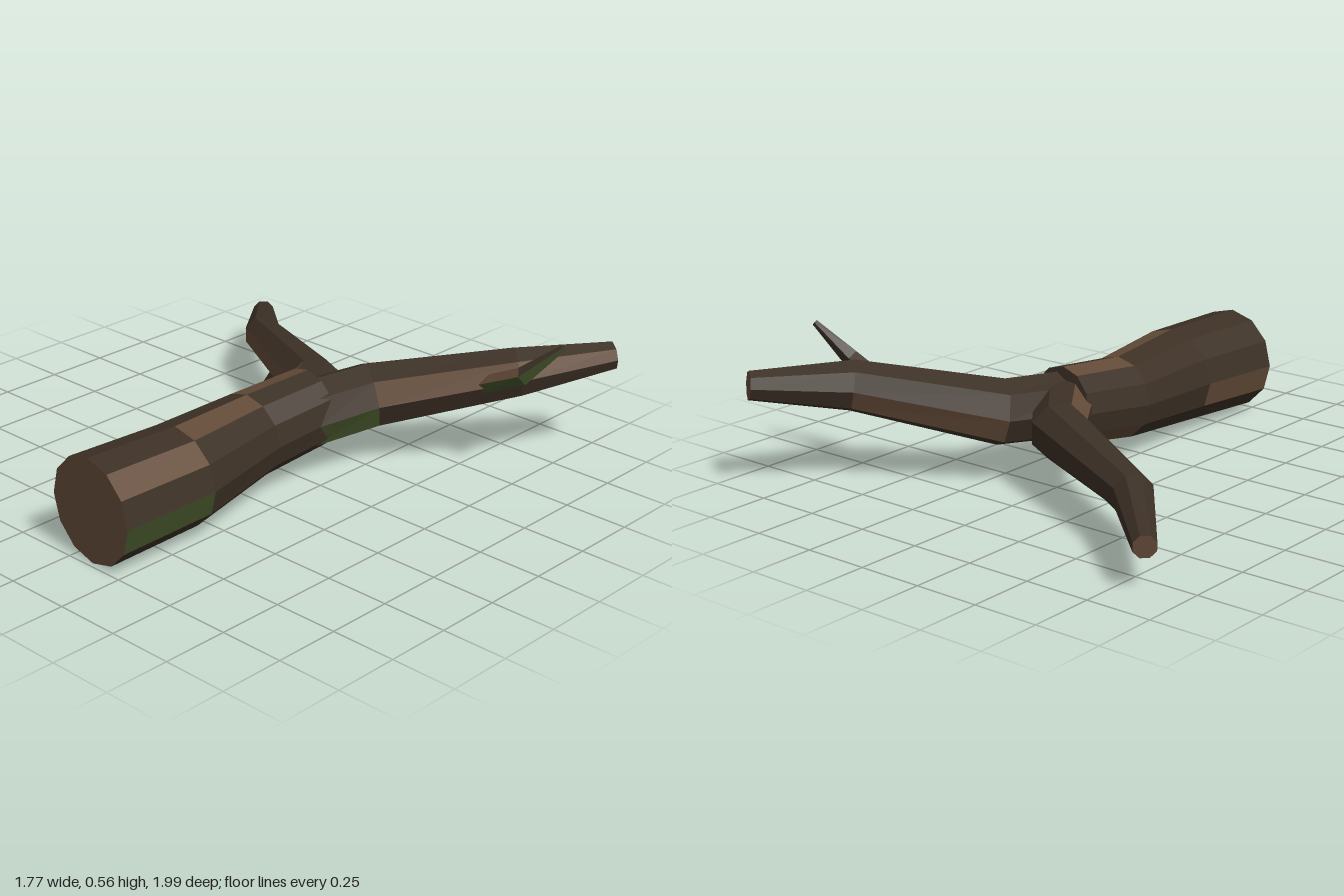
import * as THREE from 'three';

const paint = (name, color) => {
  const m = new THREE.MeshStandardMaterial({ color });
  m.name = name;
  return m;
};

// Faceted limb through rings [x, y, z, radius].
// patches maps 'segment:face' to a material index; cap materials close both ends.
function limb(name, materials, rings, sides, { patches = {}, startCap = 0, endCap = 0, turn = 0 } = {}) {
  const centres = rings.map(([x, y, z]) => new THREE.Vector3(x, y, z));
  const up = new THREE.Vector3(0, 1, 0);
  const last = rings.length - 1;
  const loops = centres.map((c, i) => {
    // Tangent is the average of the two neighbouring segments
    const t = new THREE.Vector3();
    if (i > 0) t.add(c.clone().sub(centres[i - 1]).normalize());
    if (i < last) t.add(centres[i + 1].clone().sub(c).normalize());
    t.normalize();
    const u = t.clone().cross(up).normalize();
    const v = u.clone().cross(t);
    return Array.from({ length: sides }, (_, j) => {
      const a = ((j + turn) / sides) * Math.PI * 2;
      return c.clone().addScaledVector(u, Math.cos(a) * rings[i][3]).addScaledVector(v, Math.sin(a) * rings[i][3]);
    });
  });

  const buckets = materials.map(() => []);
  const tri = (m, ...points) => points.forEach((p) => buckets[m].push(p));
  for (let j = 0; j < sides; j++) {
    const k = (j + 1) % sides;
    for (let s = 0; s < last; s++) {
      const m = patches[`${s}:${j}`] ?? 0;
      tri(m, loops[s][j], loops[s + 1][j], loops[s + 1][k]);
      tri(m, loops[s][j], loops[s + 1][k], loops[s][k]);
    }
    tri(startCap, centres[0], loops[0][j], loops[0][k]);
    tri(endCap, centres[last], loops[last][k], loops[last][j]);
  }

  const geometry = new THREE.BufferGeometry().setFromPoints(buckets.flat());
  let start = 0;
  buckets.forEach((b, m) => {
    if (b.length) geometry.addGroup(start, b.length, m);
    start += b.length;
  });
  geometry.computeVertexNormals();
  const mesh = new THREE.Mesh(geometry, materials);
  mesh.name = name;
  return mesh;
}

export function createModel() {
  const materials = [paint('dark bark', 0x3d3126), paint('light wood', 0x644b38), paint('moss', 0x425029)];
  const WOOD = 1, MOSS = 2;
  const group = new THREE.Group();
  group.name = 'fallenLog';

  // Thick trunk with a sawn front end
  group.add(limb('trunk', materials, [
    [0.1, 0.2, 0.985, 0.2], [0.12, 0.207, 0.6, 0.19], [0.08, 0.22, 0.2, 0.16], [0.115, 0.25, -0.09, 0.15],
  ], 12, {
    startCap: WOOD,
    patches: { '0:1': WOOD, '1:2': WOOD, '2:3': WOOD, '0:11': MOSS, '0:6': WOOD, '2:7': WOOD },
  }));

  // Two main branches of the fork
  group.add(limb('leftBranch', materials, [
    [0.13, 0.24, -0.02, 0.13], [0.22, 0.26, -0.305, 0.127], [0.63, 0.367, -0.655, 0.097], [0.837, 0.4, -0.968, 0.055],
  ], 8, { endCap: WOOD, patches: { '0:7': MOSS, '1:0': WOOD, '2:0': WOOD, '1:4': WOOD } }));
  group.add(limb('rightBranch', materials, [
    [0.1, 0.24, -0.09, 0.12], [-0.04, 0.23, -0.28, 0.11], [-0.6, 0.2, -0.57, 0.075], [-0.857, 0.157, -0.84, 0.043],
  ], 8, { endCap: WOOD, turn: -0.5, patches: { '0:3': WOOD, '1:4': WOOD, '0:0': MOSS } }));

  // Small pointed twigs
  group.add(limb('leftTwig', materials, [
    [0.56, 0.33, -0.52, 0.035], [0.75, 0.42, -0.535, 0.036], [0.875, 0.55, -0.597, 0.012],
  ], 5, { turn: -0.75, patches: { '0:0': MOSS, '1:0': MOSS, '0:1': WOOD } }));
  group.add(limb('rightTwig', materials, [
    [-0.37, 0.16, -0.45, 0.036], [-0.455, 0.05, -0.425, 0.015],
  ], 5));

  return group;
}
